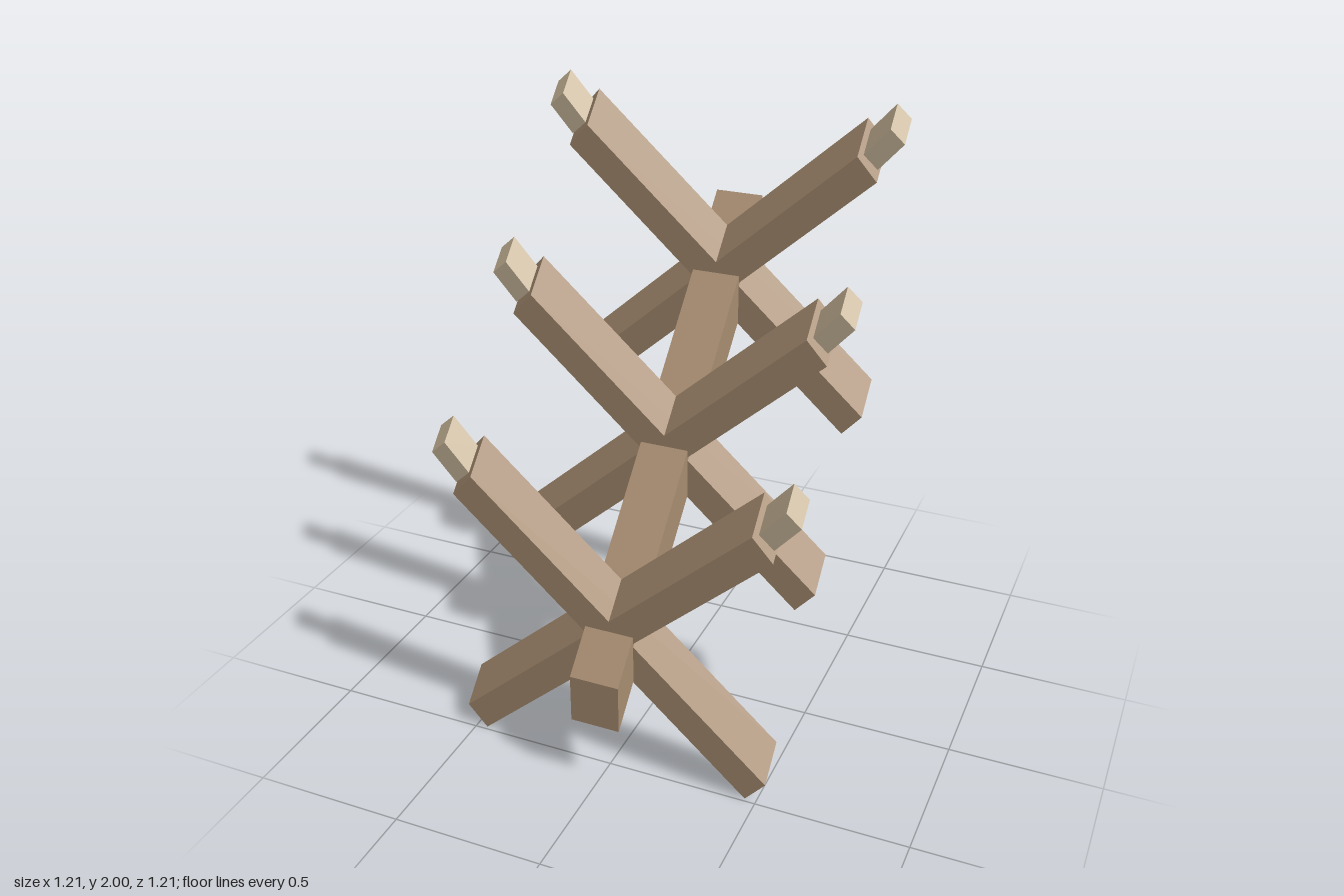
import * as THREE from 'three';

export function createModel() {
  const model = new THREE.Group();
  const wood = new THREE.MeshStandardMaterial({ color: 0xa98e72 });
  wood.name = 'brown wood';
  const paleWood = new THREE.MeshStandardMaterial({ color: 0xc8b698 });
  paleWood.name = 'pale wood';

  // Everything leans along the slope: height rises by one for each unit backwards
  const slope = new THREE.Matrix4().set(
    1, 0, 0, 0,
    0, 1, -1, 0,
    0, 0, 1, 0,
    0, 0, 0, 1);

  function bar(parent, name, material, size, position, angle = 0) {
    const geometry = new THREE.BoxGeometry(...size);
    geometry.rotateZ(angle);
    geometry.translate(...position);
    geometry.applyMatrix4(slope);
    const mesh = new THREE.Mesh(geometry, material);
    mesh.name = name;
    parent.add(mesh);
  }

  // Sloping spine with upright ends
  bar(model, 'spine', wood, [0.164, 0.164, 1.21], [0, 0.9175, 0]);

  // Three crosses with a pale peg on each upper arm
  const beamAngle = THREE.MathUtils.degToRad(41.8);
  const pegAngle = THREE.MathUtils.degToRad(48.2);
  [0.44, 0, -0.44].forEach((z) => {
    const cross = new THREE.Group();
    cross.name = 'cross';
    for (const side of [1, -1]) {
      const label = side > 0 ? 'left' : 'right';
      bar(cross, label + 'Beam', wood, [1.33, 0.1, 0.098], [0, 0.97, z], side * beamAngle);
      bar(cross, label + 'Peg', paleWood, [0.12, 0.064, 0.064], [side * 0.541, 1.46, z], side * pegAngle);
    }
    model.add(cross);
  });

  return model;
}
